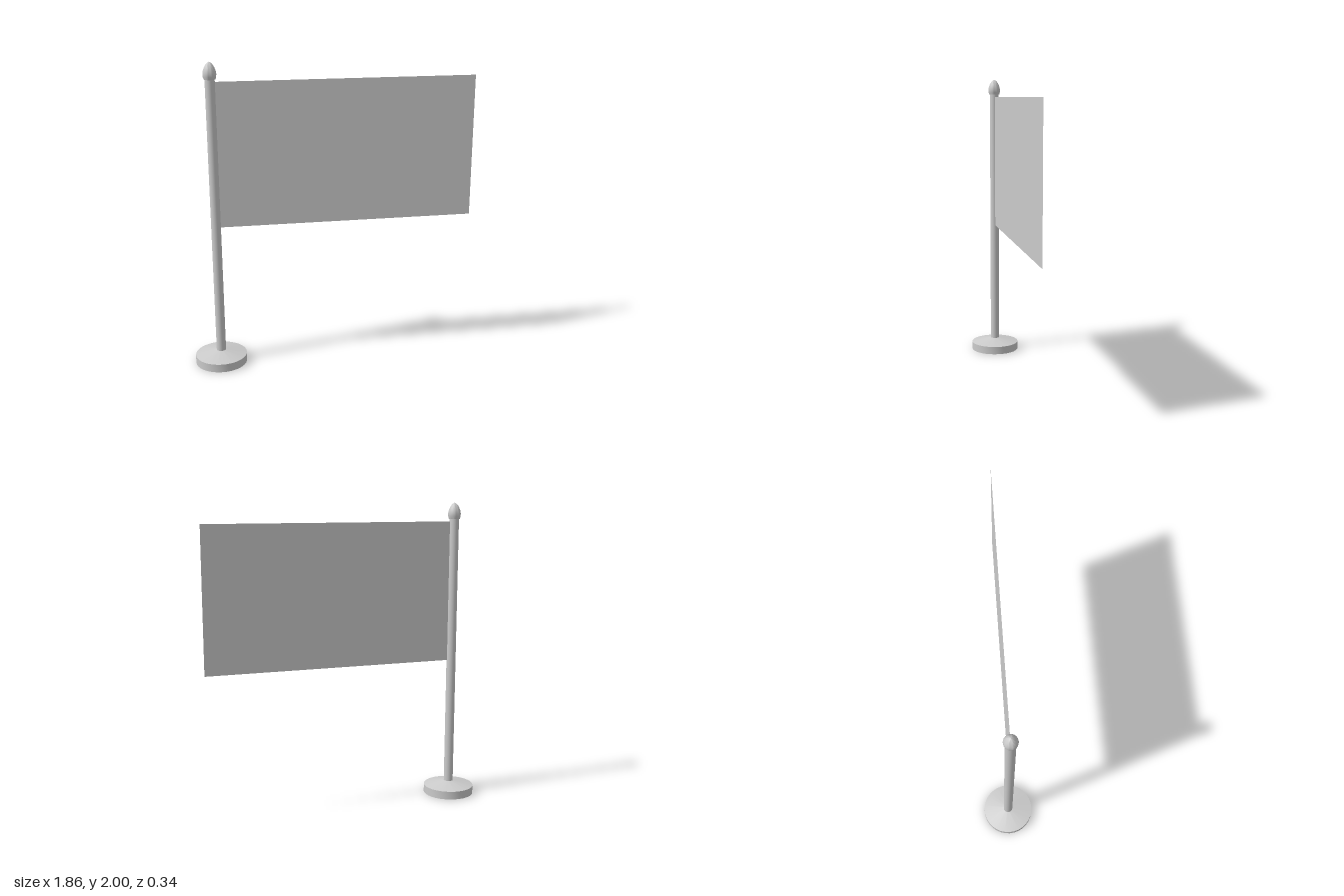
import * as THREE from 'three';
import { toCreasedNormals } from 'three/addons/utils/BufferGeometryUtils.js';

const POLE_X = -0.76;
const POLE_RADIUS = 0.031;

export function createModel() {
  const group = new THREE.Group();
  const material = new THREE.MeshStandardMaterial({ color: 0xcccccc });
  const clothMaterial = new THREE.MeshStandardMaterial({ color: 0xcccccc, side: THREE.DoubleSide });

  function add(name, geometry, x, y, mat = material) {
    const mesh = new THREE.Mesh(geometry, mat);
    mesh.name = name;
    mesh.position.set(x, y, 0);
    group.add(mesh);
  }

  // Turned part from [radius, height] pairs, listed bottom to top
  function turned(profile, crease) {
    const points = profile.map(([r, y]) => new THREE.Vector2(r, y));
    return toCreasedNormals(new THREE.LatheGeometry(points, 32), crease);
  }

  // Round foot with a shallow conical top
  add('base', turned([[0, 0], [0.17, 0], [0.17, 0.055], [POLE_RADIUS, 0.085]], 0.5), POLE_X, 0);

  // Pole, running from the foot into the finial
  const poleBottom = 0.08, poleTop = 1.9;
  add('pole', new THREE.CylinderGeometry(POLE_RADIUS, POLE_RADIUS, poleTop - poleBottom, 32),
    POLE_X, (poleBottom + poleTop) / 2);

  // Acorn-shaped finial
  add('finial', turned([
    [0, 1.893], [0.036, 1.893], [0.041, 1.91], [0.042, 1.927], [0.039, 1.946],
    [0.032, 1.965], [0.022, 1.982], [0.012, 1.993], [0, 2],
  ], 0.7), POLE_X, 0);

  // Flat cloth, attached at the pole
  const left = POLE_X + POLE_RADIUS, right = 0.93, bottom = 0.943, top = 1.877;
  add('flag', new THREE.PlaneGeometry(right - left, top - bottom),
    (left + right) / 2, (bottom + top) / 2, clothMaterial);

  return group;
}
